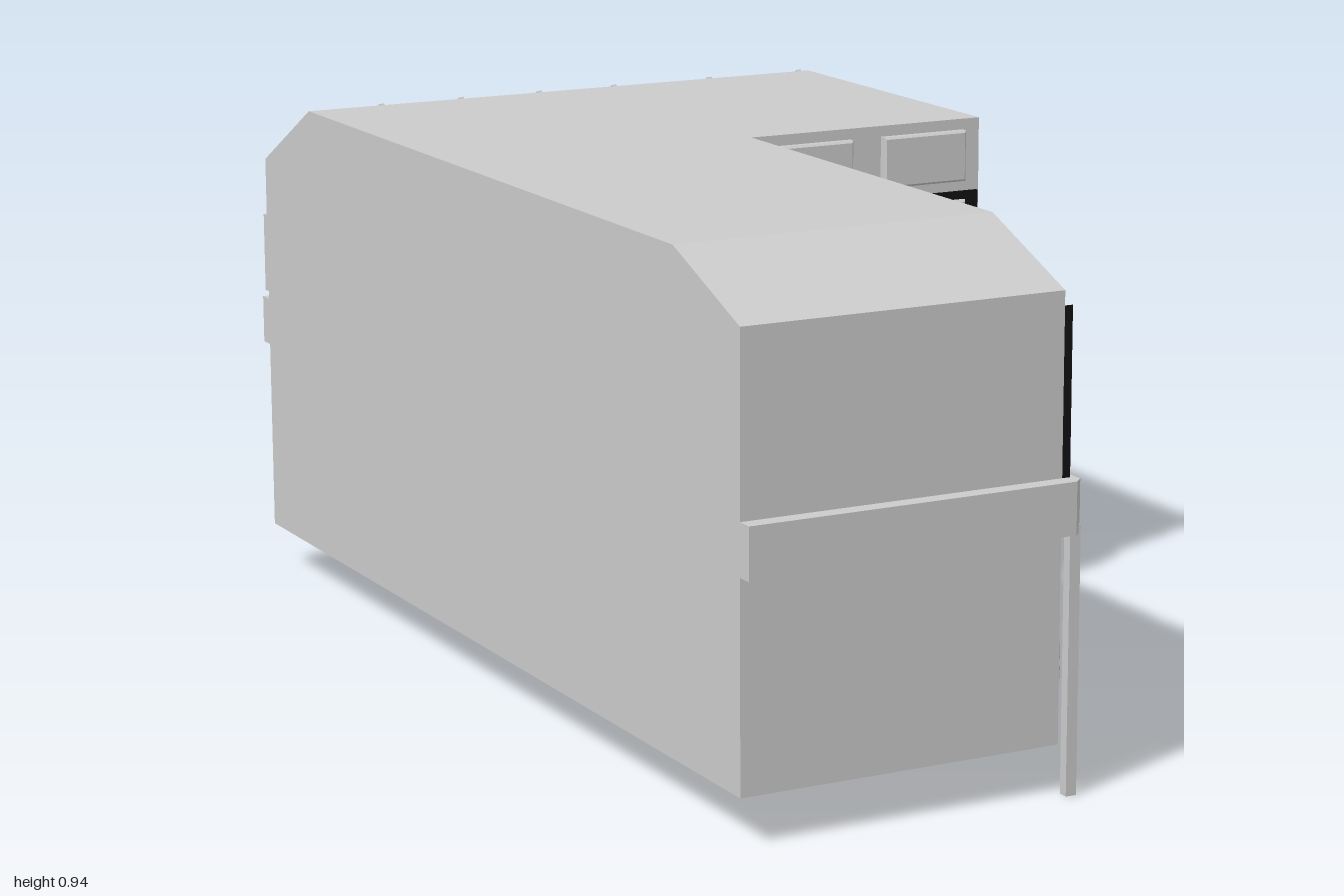
import * as THREE from 'three';

const grey = new THREE.MeshStandardMaterial({ color: 0xcccccc, flatShading: true });
const black = new THREE.MeshStandardMaterial({ color: 0x111111, flatShading: true });

const toShape = (pts) => new THREE.Shape(pts.map(([a, b]) => new THREE.Vector2(a, b)));
const rect = (a0, a1, b0, b1) => [[a0, b0], [a1, b0], [a1, b1], [a0, b1]];

export function createModel() {
  const model = new THREE.Group();

  function add(parent, name, geometry, material = grey) {
    const mesh = new THREE.Mesh(geometry, material);
    mesh.name = name;
    parent.add(mesh);
    return mesh;
  }

  // A wall group whose outlines use world coordinates (z or x, then y), extruded outward
  function wall(name, rotationY, position, sign) {
    const group = new THREE.Group();
    group.name = name;
    group.rotation.y = rotationY;
    group.position.set(...position);
    model.add(group);
    const flip = (pts) => pts.map(([a, b]) => [a * sign, b]);
    return {
      plate(part, pts, depth, material = grey, hole = null) {
        const shape = toShape(flip(pts));
        if (hole) shape.holes.push(new THREE.Path(toShape(flip(hole)).getPoints()));
        return add(group, part, new THREE.ExtrudeGeometry(shape, { depth, bevelEnabled: false }), material);
      },
      // Raised panel with chamfered edges
      panel(part, pts, depth = 0.014) {
        const g = new THREE.ExtrudeGeometry(toShape(flip(pts)), {
          depth: depth - 0.004, bevelThickness: 0.004, bevelSize: 0.004, bevelOffset: -0.004, bevelSegments: 1,
        });
        return add(group, part, g);
      },
    };
  }

  // Side profile (z, y) swept along x
  function block(name, profile, x0, x1) {
    const g = new THREE.ExtrudeGeometry(toShape(profile.map(([z, y]) => [-z, y])), { depth: x1 - x0, bevelEnabled: false });
    g.rotateY(Math.PI / 2).translate(x0, 0, 0);
    add(model, name, g);
  }
  const rear = [[-0.745, 0.935], [-0.97, 0.81], [-0.97, 0.085]];
  block('mainBlock', [[0.97, 0.085], [0.97, 0.845], [0.745, 0.935], ...rear], -0.55, 0.04);
  block('wingBlock', [[-0.09, 0.085], [-0.09, 0.935], ...rear], 0.04, 0.52);

  // Belt around the L-shaped plan
  const plan = [[-0.55, 1], [0.05, 1], [0.065, 0.985], [0.065, -0.07], [0.53, -0.07], [0.545, -0.085],
    [0.545, -0.985], [0.53, -0.99], [0.5, -0.96], [-0.55, -0.96]];
  const belt = new THREE.ExtrudeGeometry(toShape(plan.map(([x, z]) => [x, -z])), { depth: 0.09, bevelEnabled: false });
  add(model, 'belt', belt.rotateX(-Math.PI / 2).translate(0, 0.445, 0));

  // Corner posts
  for (const [x, z, y0] of [[0.055, 0.98, 0], [0.535, -0.08, 0], [0.535, -0.975, 0.085]]) {
    add(model, 'post', new THREE.BoxGeometry(0.02, 0.46 - y0, 0.018).translate(x, (0.46 + y0) / 2, z));
  }

  // Inner side of the main block
  const side = wall('courtyardSide', Math.PI / 2, [0.04, 0, 0], -1);
  side.plate('bayFrame',
    [[0.97, 0.82], [0.9, 0.8], [0.44, 0.8], [0.33, 0.71], [0.33, 0.64], [0.43, 0.535], [0.97, 0.535]], 0.015, black,
    [[0.92, 0.775], [0.455, 0.775], [0.36, 0.695], [0.36, 0.645], [0.455, 0.56], [0.92, 0.56]]);
  for (const [y0, y1, tip0, tip1] of [[0.725, 0.77, 0.42, 0.46], [0.64, 0.715, 0.385, 0.385], [0.57, 0.63, 0.46, 0.42]]) {
    side.panel('bayPanel', rect(0.82, 0.905, y0, y1), 0.016);
    side.panel('bayPanel', rect(0.64, 0.775, y0, y1), 0.016);
    side.panel('bayPanel', [[0.595, y0], [tip0, y0], [tip1, y1], [0.595, y1]].map(([z, y]) =>
      y0 === 0.725 && z < 0.5 ? [z === 0.42 ? 0.42 : 0.46, y] : [z, y]), 0.016);
  }
  side.panel('chevronPanel', [[0.42, 0.8], [0.09, 0.8], [-0.03, 0.7], [-0.03, 0.64], [0.08, 0.54],
    [0.42, 0.54], [0.32, 0.64], [0.32, 0.71]], 0.01);
  side.panel('chevronInset', [[0.39, 0.79], [0.1, 0.79], [-0.01, 0.7], [-0.01, 0.645], [0.09, 0.55],
    [0.39, 0.55], [0.3, 0.64], [0.3, 0.71]], 0.014);

  // Slanted panels under the roof edge
  side.panel('eavePanel', [[0.95, 0.842], [0.745, 0.925], [0.64, 0.925], [0.8, 0.815], [0.93, 0.815]]);
  for (let i = 0; i < 5; i++) {
    const top = 0.61 - i * 0.137, bottom = 0.76 - i * 0.16;
    side.panel('eavePanel', [[top, 0.925], [top - 0.11, 0.925], [bottom - 0.13, 0.815], [bottom, 0.815]]);
  }

  // Window strip, ledges and vents
  side.plate('windowFrame', rect(-0.04, 0.93, 0.285, 0.425), 0.008);
  const windows = [[0.79, 0.905], [0.65, 0.765], [0.465, 0.6], [0.28, 0.43], [0.11, 0.255], [-0.025, 0.085]];
  for (const [z0, z1] of windows) {
    side.plate('window', rect(z0, z1, 0.295, 0.348), 0.011, black);
    side.plate('window', rect(z0, z1, 0.36, 0.412), 0.011, black);
  }
  for (let i = 0; i < 6; i++) {
    const z = 0.945 - i * 0.177;
    side.plate('vent', rect(z - 0.125, z, 0.1, 0.16), 0.006, black);
    side.panel('ledge', rect(z - 0.16, z, 0.185, 0.212), 0.02);
    side.panel('ledge', rect(z - 0.16, z, 0.22, 0.25), 0.02);
  }

  // Front of the wing
  const front = wall('wingFront', 0, [0, 0, -0.09], 1);
  front.plate('darkSurround', rect(0.285, 0.515, 0.53, 0.8), 0.006, black);
  for (const [x0, x1] of [[0.07, 0.245], [0.31, 0.485]]) {
    for (const [y0, y1] of [[0.82, 0.915], [0.73, 0.785], [0.64, 0.695], [0.55, 0.605], [0.37, 0.425], [0.28, 0.335]]) {
      front.panel('frontPanel', rect(x0, x1, y0, y1), 0.016);
    }
    front.plate('vent', rect(x0, x1, 0.098, 0.157), 0.006, black);
  }
  for (const [x0, x1] of [[0.07, 0.27], [0.285, 0.49]]) {
    front.panel('ledge', rect(x0, x1, 0.187, 0.215), 0.018);
    front.panel('ledge', rect(x0, x1, 0.222, 0.248), 0.018);
  }

  // Outer side of the wing
  const flank = wall('wingSide', Math.PI / 2, [0.52, 0, 0], -1);
  flank.panel('upperRail', rect(-0.965, -0.13, 0.74, 0.795), 0.022);
  flank.panel('lowerRail', rect(-0.93, -0.13, 0.55, 0.603), 0.022);
  flank.panel('endBlock', rect(-0.985, -0.82, 0.625, 0.715), 0.014);
  for (const y of [0.12, 0.155, 0.19]) flank.plate('thinRail', rect(-0.82, -0.13, y, y + 0.013), 0.006);

  // Back wall: funnel-shaped belt, upper band and doors
  const back = wall('backWall', Math.PI, [0, 0, -0.97], -1);
  back.plate('funnelBelt', [[0.53, 0.535], [0.25, 0.525], [-0.02, 0.46], [-0.1, 0.46], [-0.28, 0.535], [-0.55, 0.535],
    [-0.55, 0.445], [-0.28, 0.445], [-0.17, 0.35], [-0.17, 0.085], [-0.05, 0.025], [0.07, 0.085],
    [0.07, 0.35], [0.2, 0.445], [0.53, 0.445]], 0.03);
  const band = (m) => [[0.5 - m, 0.805 - m], [-0.53 + m, 0.805 - m], [-0.53 + m, 0.72 + m], [-0.31 + m, 0.71 + m],
    [-0.32 + m, 0.645 + m], [-0.15, 0.63 + m], [0.12, 0.63 + m], [0.29 - m, 0.645 + m], [0.28 - m, 0.71 + m], [0.5 - m, 0.72 + m]];
  back.plate('bandSurround', band(0), 0.02, black);
  back.panel('bandPanel', band(0.014), 0.026);
  back.plate('lowerPlate', [[0.52, 0.7], [0.3, 0.69], [0.3, 0.63], [0.12, 0.615], [-0.15, 0.615], [-0.33, 0.63],
    [-0.33, 0.69], [-0.55, 0.7], [-0.55, 0.55], [-0.28, 0.55], [-0.1, 0.49], [-0.02, 0.49], [0.25, 0.54], [0.52, 0.55]], 0.016);
  for (const [x0, x1] of [[0.11, 0.5], [-0.54, -0.21]]) {
    const w = x1 - x0;
    const arch = (m) => [[x0 + m, 0.35 + m], [x0 + w * 0.3, 0.37 + m], [x0 + w * 0.7, 0.37 + m], [x1 - m, 0.35 + m],
      [x1 - m, 0.42 - m], [x0 + w * 0.7, 0.44 - m], [x0 + w * 0.3, 0.44 - m], [x0 + m, 0.42 - m]];
    back.plate('canopySurround', arch(0), 0.015, black);
    back.panel('canopy', arch(0.013), 0.026);
    back.plate('door', rect(x0 + 0.03, x1 - 0.03, 0.095, 0.35), 0.006);
    for (let c = 0; c < 2; c++) for (let r = 0; r < 3; r++) {
      const a = x0 + 0.045 + c * (w - 0.08) / 2, y = 0.11 + r * 0.08;
      back.panel('doorPanel', rect(a, a + (w - 0.12) / 2, y, y + 0.065), 0.016);
    }
  }

  // Slanted ribs on the rear roof slope
  for (const x of [-0.39, -0.225, -0.06, 0.1, 0.31, 0.51]) {
    const rib = add(model, 'roofRib', new THREE.BoxGeometry(0.01, 0.008, 0.25));
    rib.position.set(x, 0.873, -0.8575);
    rib.rotation.set(-0.507, -0.07, 0);
  }
  return model;
}
